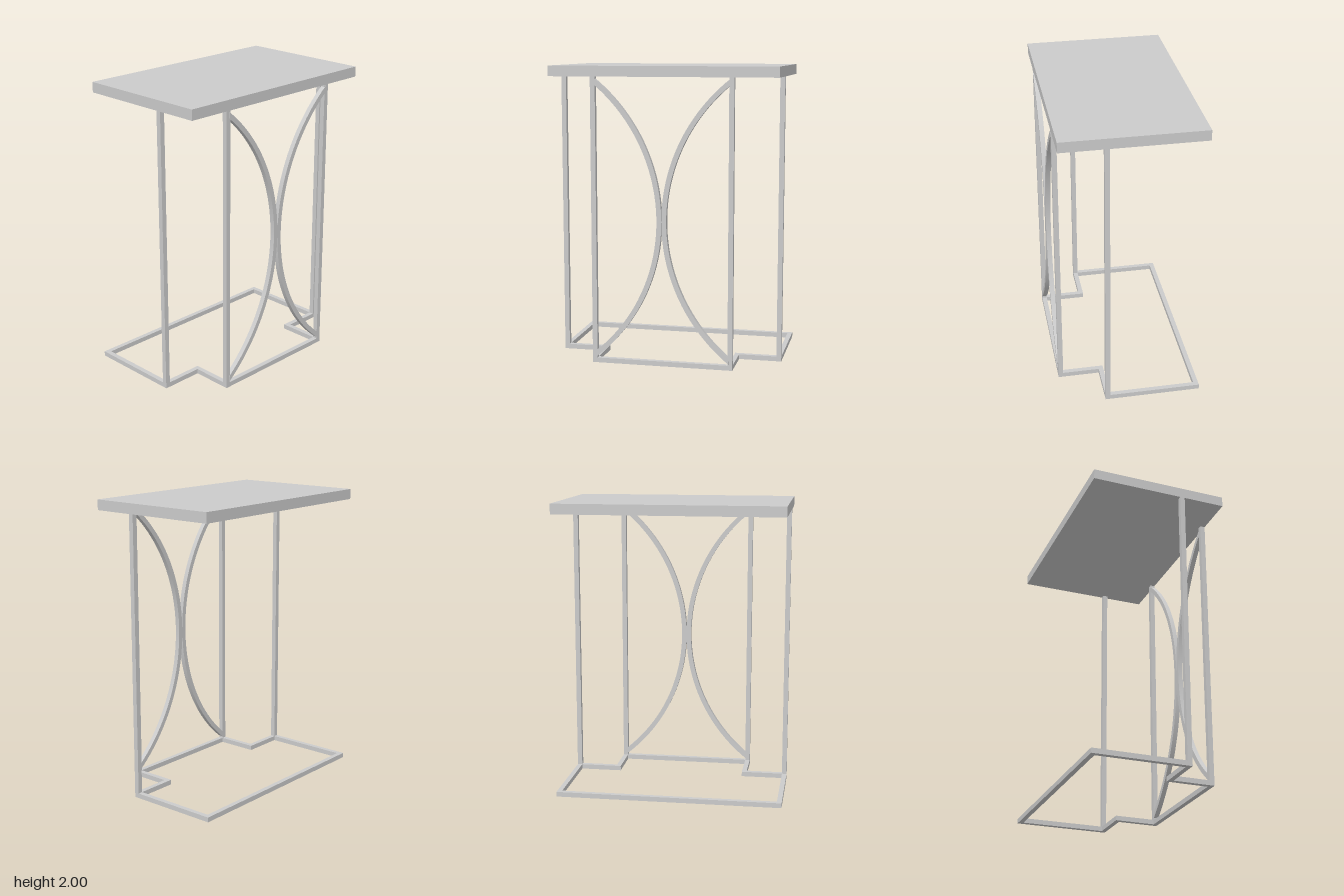
import * as THREE from 'three';
import { toCreasedNormals } from 'three/addons/utils/BufferGeometryUtils.js';

const BAR = 0.033;          // square tube thickness
const W = 0.77, D = 0.47;   // half width and half depth
const INNER = 0.48;         // half width of the front bay
const SHOULDER = 0.185;     // z of the outer posts' front face
const TOP = 1.93;           // underside of the tabletop

export function createModel() {
  const group = new THREE.Group();
  const material = new THREE.MeshStandardMaterial({ color: 0xcccccc });

  const add = (name, geometry, x = 0, y = 0, z = 0) => {
    const mesh = new THREE.Mesh(geometry, material);
    mesh.name = name;
    mesh.position.set(x, y, z);
    group.add(mesh);
  };

  // Tabletop slab
  add('tabletop', new THREE.BoxGeometry(2 * W, 2 - TOP, 2 * D), 0, (TOP + 2) / 2, 0);

  // Stepped base frame: outline and its inset, mirrored about x = 0
  const outline = (t) => {
    const half = [[W - t, -D + t], [W - t, SHOULDER - t], [INNER - t, SHOULDER - t], [INNER - t, D - t]];
    const mirrored = half.map(([x, z]) => [-x, z]).reverse();
    return [...half, ...mirrored].map(([x, z]) => new THREE.Vector2(x, z));
  };
  const frame = new THREE.Shape(outline(0));
  frame.holes.push(new THREE.Path(outline(BAR)));
  const base = new THREE.ExtrudeGeometry(frame, { depth: BAR, bevelEnabled: false });
  base.rotateX(Math.PI / 2);
  add('baseFrame', base, 0, BAR, 0);

  // Curved brace: a ring sector cut vertically where it meets its post
  const R = 1.2, midY = 0.981, cut = R - (INNER - BAR * 0.7);
  const braceGeometry = (side) => {
    const arc = (r) => {
      const a = Math.acos(cut / r), points = [];
      for (let i = 0; i <= 48; i++) {
        const t = -a + (2 * a * i) / 48;
        points.push(new THREE.Vector2(side * (R - r * Math.cos(t)), midY + r * Math.sin(t)));
      }
      return points;
    };
    const shape = new THREE.Shape([...arc(R), ...arc(R - BAR).reverse()]);
    return toCreasedNormals(new THREE.ExtrudeGeometry(shape, { depth: BAR, bevelEnabled: false }), 0.5);
  };

  // Posts and braces on both sides
  const post = new THREE.BoxGeometry(BAR, TOP - BAR, BAR);
  const postY = (TOP + BAR) / 2;
  for (const [side, label] of [[1, 'left'], [-1, 'right']]) {
    add(label + 'OuterPost', post, side * (W - BAR / 2), postY, SHOULDER - BAR / 2);
    add(label + 'FrontPost', post, side * (INNER - BAR / 2), postY, D - BAR / 2);
    add(label + 'CurvedBrace', braceGeometry(side), 0, 0, D - BAR + 0.002);
  }
  return group;
}
